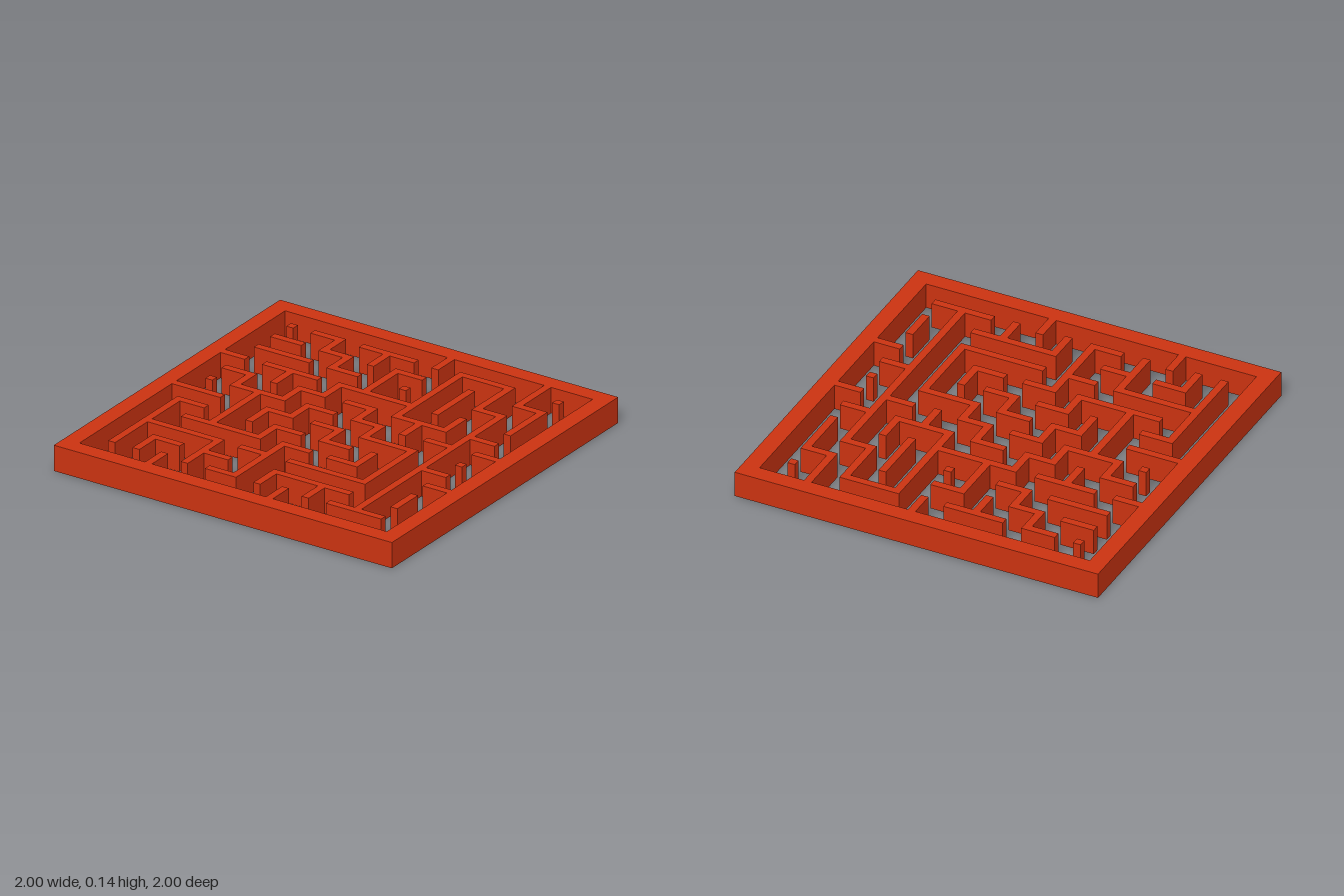
import * as THREE from 'three';

const HEIGHT = 0.14, WALL = 0.041, PITCH = 0.143, INNER = 0.909;

// Wall runs on a lattice: one entry per line, each run is [from, to]; -1 and 12 meet the frame
const ROWS = [
  [[0, 0], [1, 2], [3, 5], [7, 9], [11, 11]],
  [[0, 1], [2, 3], [5, 6], [10, 11]],
  [[0, 2], [3, 4], [6, 6], [9, 10]],
  [[-1, 0], [1, 3], [4, 7]],
  [[0, 1], [3, 4], [5, 6], [7, 9], [10, 11]],
  [[0, 0], [1, 3], [4, 5], [6, 7], [9, 10], [11, 12]],
  [[-1, 1], [3, 4], [5, 6], [7, 9], [11, 11]],
  [[0, 1], [4, 5], [6, 7], [10, 11]],
  [[1, 4], [5, 6], [7, 8], [11, 12]],
  [[0, 3], [4, 5], [6, 9]],
  [[1, 2], [3, 4], [6, 9]],
  [[4, 5], [9, 11]],
];
const COLUMNS = [
  [[7, 11]],
  [[4, 5], [10, 11]],
  [[0, 1], [3, 4], [5, 8], [11, 12]],
  [[1, 2], [4, 5], [6, 7], [9, 11]],
  [[0, 1], [3, 4], [5, 6], [7, 8]],
  [[1, 3], [8, 11]],
  [[-1, 0], [4, 5], [6, 7], [10, 11]],
  [[0, 4], [5, 6], [11, 12]],
  [[1, 3], [4, 5], [7, 8], [10, 11]],
  [[0, 2], [3, 4], [6, 9]],
  [[-1, 1], [2, 11]],
  [[1, 3], [9, 10]],
];

const at = (k) => (k - 5.5) * PITCH;

function square(PathType, r) {
  const p = new PathType();
  p.moveTo(-r, -r);
  p.lineTo(r, -r);
  p.lineTo(r, r);
  p.lineTo(-r, r);
  p.closePath();
  return p;
}

export function createModel() {
  const model = new THREE.Group();
  model.name = 'maze';
  const material = new THREE.MeshStandardMaterial({ color: 0xcc3311 });

  // Thick square border, open at top and bottom
  const outline = square(THREE.Shape, 1);
  outline.holes.push(square(THREE.Path, INNER));
  const frameGeometry = new THREE.ExtrudeGeometry(outline, { depth: HEIGHT, bevelEnabled: false });
  frameGeometry.rotateX(-Math.PI / 2);
  const frame = new THREE.Mesh(frameGeometry, material);
  frame.name = 'frame';
  model.add(frame);

  // Thin inner walls, rows along x and columns along z
  const addWalls = (name, lines, alongX) => {
    const group = new THREE.Group();
    group.name = name;
    lines.forEach((runs, line) => runs.forEach(([a, b]) => {
      const length = (b - a) * PITCH + WALL, mid = at((a + b) / 2);
      const wall = new THREE.Mesh(
        new THREE.BoxGeometry(alongX ? length : WALL, HEIGHT, alongX ? WALL : length), material);
      wall.position.set(alongX ? mid : at(line), HEIGHT / 2, alongX ? at(line) : mid);
      wall.name = a === b ? 'post' : 'wall';
      group.add(wall);
    }));
    model.add(group);
  };
  addWalls('rowWalls', ROWS, true);
  addWalls('columnWalls', COLUMNS, false);

  return model;
}
